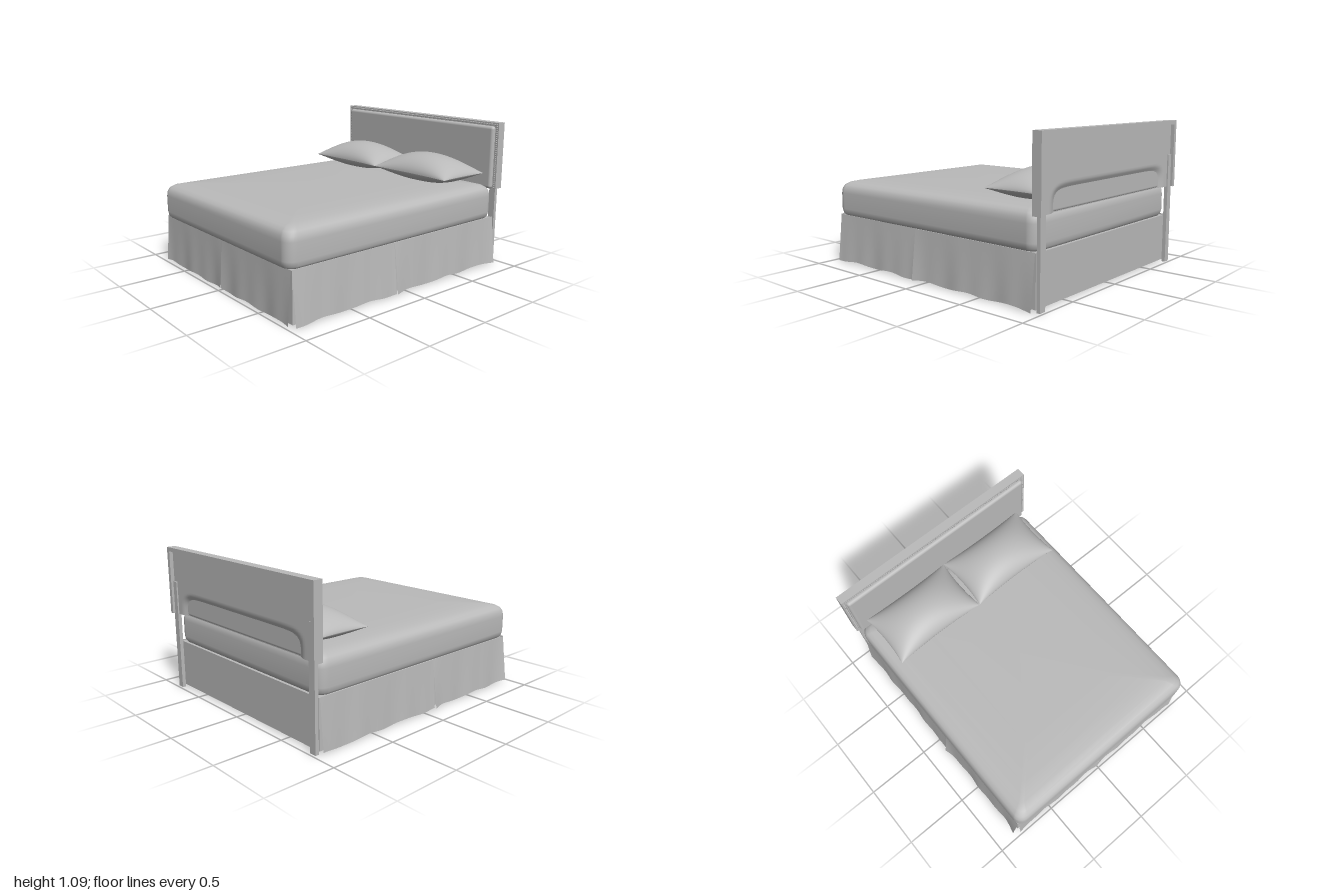
import * as THREE from 'three';
import { mergeGeometries } from 'three/addons/utils/BufferGeometryUtils.js';
import { RoundedBoxGeometry } from 'three/addons/geometries/RoundedBoxGeometry.js';

const fabric = new THREE.MeshStandardMaterial({ color: 0xbababa, side: THREE.DoubleSide });
fabric.name = 'grey fabric';

function add(parent, name, geometry, x = 0, y = 0, z = 0) {
  const mesh = new THREE.Mesh(geometry, fabric);
  mesh.name = name;
  mesh.position.set(x, y, z);
  parent.add(mesh);
  return mesh;
}

// box given by its limits
function block(parent, name, x0, x1, y0, y1, z0, z1) {
  return add(parent, name, new THREE.BoxGeometry(x1 - x0, y1 - y0, z1 - z0),
    (x0 + x1) / 2, (y0 + y1) / 2, (z0 + z1) / 2);
}

// stacked rounded rectangles; profile holds [inset, y], bottom to top
function loft(hx, hz, radius, profile) {
  const pos = [], index = [], arc = 8, n = 4 * (arc + 1);
  for (const [inset, y] of profile) {
    const r = Math.max(radius - inset * 0.5, 0.02);
    for (let q = 0; q < 4; q++) for (let i = 0; i <= arc; i++) {
      const a = (q + i / arc) * Math.PI / 2;
      const sx = q === 0 || q === 3 ? 1 : -1, sz = q < 2 ? 1 : -1;
      pos.push(sx * (hx - inset - r) + r * Math.cos(a), y, sz * (hz - inset - r) + r * Math.sin(a));
    }
  }
  for (let k = 0; k < profile.length - 1; k++) for (let i = 0; i < n; i++) {
    const a = k * n + i, b = k * n + (i + 1) % n;
    index.push(a, a + n, b, b, a + n, b + n);
  }
  const last = (profile.length - 1) * n, c = pos.length / 3;
  pos.push(0, profile[0][1], 0, 0, profile[profile.length - 1][1], 0);
  for (let i = 0; i < n; i++) {
    const j = (i + 1) % n;
    index.push(c, i, j, c + 1, last + j, last + i);
  }
  const g = new THREE.BufferGeometry();
  g.setAttribute('position', new THREE.Float32BufferAttribute(pos, 3));
  g.setIndex(index);
  g.computeVertexNormals();
  return g;
}

// hanging cloth panel: local x along the bed edge, z outwards
function skirtPanel(length, flare, phase) {
  const height = 0.355;
  const g = new THREE.PlaneGeometry(length, height, 48, 10);
  const p = g.attributes.position;
  for (let i = 0; i < p.count; i++) {
    const x = p.getX(i), t = 0.5 - p.getY(i) / height;
    const wave = Math.sin(x * 13 + phase) * 0.6 + Math.sin(x * 29 + phase * 2.3) * 0.4;
    const end = Math.pow(Math.abs(2 * x / length), 6);
    p.setZ(i, t * (flare * (0.6 + 0.4 * end) + 0.007 * wave));
    p.setY(i, p.getY(i) + t * t * 0.006 * Math.sin(x * 17 + phase));
  }
  g.computeVertexNormals();
  return g;
}

// plump pillow with pinched edges; side is +1 for the top skin, -1 for the underside
function pillowSkin(hx, hz, side) {
  const g = new THREE.PlaneGeometry(2, 2, 36, 28);
  g.rotateX(-Math.PI / 2);
  const p = g.attributes.position;
  for (let i = 0; i < p.count; i++) {
    // crowd rows towards the seam
    const u = Math.sin(p.getX(i) * Math.PI / 2), v = Math.sin(p.getZ(i) * Math.PI / 2);
    const fill = Math.pow(Math.max(0, 1 - u * u), 0.6) * Math.pow(Math.max(0, 1 - v * v), 0.55);
    const y = side > 0 ? 0.135 * fill : -Math.min(0.066, 0.085 * fill);
    p.setXYZ(i, hx * u * (1 - 0.045 * (1 - v * v)), y, hz * v * (1 - 0.08 * (1 - u * u)));
  }
  if (side < 0) {
    const idx = g.index.array;
    for (let i = 0; i < idx.length; i += 3) [idx[i], idx[i + 1]] = [idx[i + 1], idx[i]];
  }
  g.computeVertexNormals();
  return g;
}

export function createModel() {
  const bed = new THREE.Group();
  bed.name = 'bed';

  // base and mattress
  block(bed, 'boxBase', -0.803, 0.803, 0.01, 0.358, -0.94, 0.95);
  add(bed, 'mattress', loft(0.812, 0.963, 0.075, [
    [0.06, 0.355], [0.02, 0.36], [0.007, 0.376], [0, 0.41], [0, 0.53], [0.005, 0.565],
    [0.02, 0.592], [0.05, 0.61], [0.1, 0.622], [0.2, 0.631], [0.4, 0.636],
  ]), 0, 0, 0.021);

  // bed skirt
  const skirt = new THREE.Group();
  skirt.name = 'bedSkirt';
  bed.add(skirt);
  for (const s of [-1, 1]) {
    add(skirt, 'frontSkirt', skirtPanel(0.8, 0.022, s + 2), s * 0.402, 0.187, 0.96);
    const parts = [[-0.94, 0.105, 0.035], [0.105, 0.955, 0.042]];
    parts.forEach(([z0, z1, flare], k) => {
      const panel = add(skirt, 'sideSkirt', skirtPanel(z1 - z0, flare, s * 2 + k * 3),
        s * (0.812 - k * 0.004), 0.187, (z0 + z1) / 2);
      panel.rotation.y = s * Math.PI / 2;
    });
  }

  // pillows
  for (const s of [-1, 1]) {
    const pillow = new THREE.Group();
    pillow.name = 'pillow';
    pillow.position.set(s * 0.368, 0.696, -0.685);
    add(pillow, 'pillowTop', pillowSkin(0.368, 0.225, 1));
    add(pillow, 'pillowUnderside', pillowSkin(0.368, 0.225, -1));
    bed.add(pillow);
  }

  // headboard rim, padding and core
  const board = new THREE.Group();
  board.name = 'headboard';
  bed.add(board);
  block(board, 'topRim', -0.835, 0.835, 1.055, 1.085, -1, -0.932);
  for (const s of [-1, 1]) {
    const x = s * 0.82;
    block(board, 'sideRim', x - 0.015, x + 0.015, 0.585, 1.055, -1, -0.932);
  }
  block(board, 'core', -0.805, 0.805, 0.585, 1.055, -0.945, -0.932);
  add(board, 'padding', new RoundedBoxGeometry(1.61, 0.475, 0.05, 4, 0.022), 0, 0.82, -0.93);

  // back cover with a shallow pocket open at the bottom
  const back = new THREE.PlaneGeometry(1.61, 0.47, 80, 32);
  back.rotateY(Math.PI);
  const p = back.attributes.position;
  for (let i = 0; i < p.count; i++) {
    const x = Math.abs(p.getX(i)) / 0.7, y = (p.getY(i) + 0.235) / 0.17;
    const d = Math.pow(Math.pow(x, 12) + Math.pow(y, 4), 0.25);
    p.setZ(i, 0.022 * (1 - THREE.MathUtils.smoothstep(d, 0.75, 1.05)));
  }
  back.computeVertexNormals();
  add(board, 'backCover', back, 0, 0.82, -0.972);

  // nailhead trim along the top and sides
  const studs = [];
  const stud = (x, y) => studs.push(new THREE.SphereGeometry(0.006, 6, 4).translate(x, y, -0.931));
  for (let i = 0; i <= 110; i++) stud(-0.82 + i * 1.64 / 110, 1.071);
  for (let i = 0; i < 32; i++) for (const s of [-1, 1]) stud(s * 0.82, 0.593 + i * 0.015);
  add(board, 'nailheadTrim', mergeGeometries(studs));

  // headboard legs, bolted onto the back cover
  for (const s of [-1, 1]) {
    const x = s * 0.789;
    block(bed, 'headboardLeg', x - 0.026, x + 0.026, 0, 0.83, -0.982, -0.955);
  }
  return bed;
}
